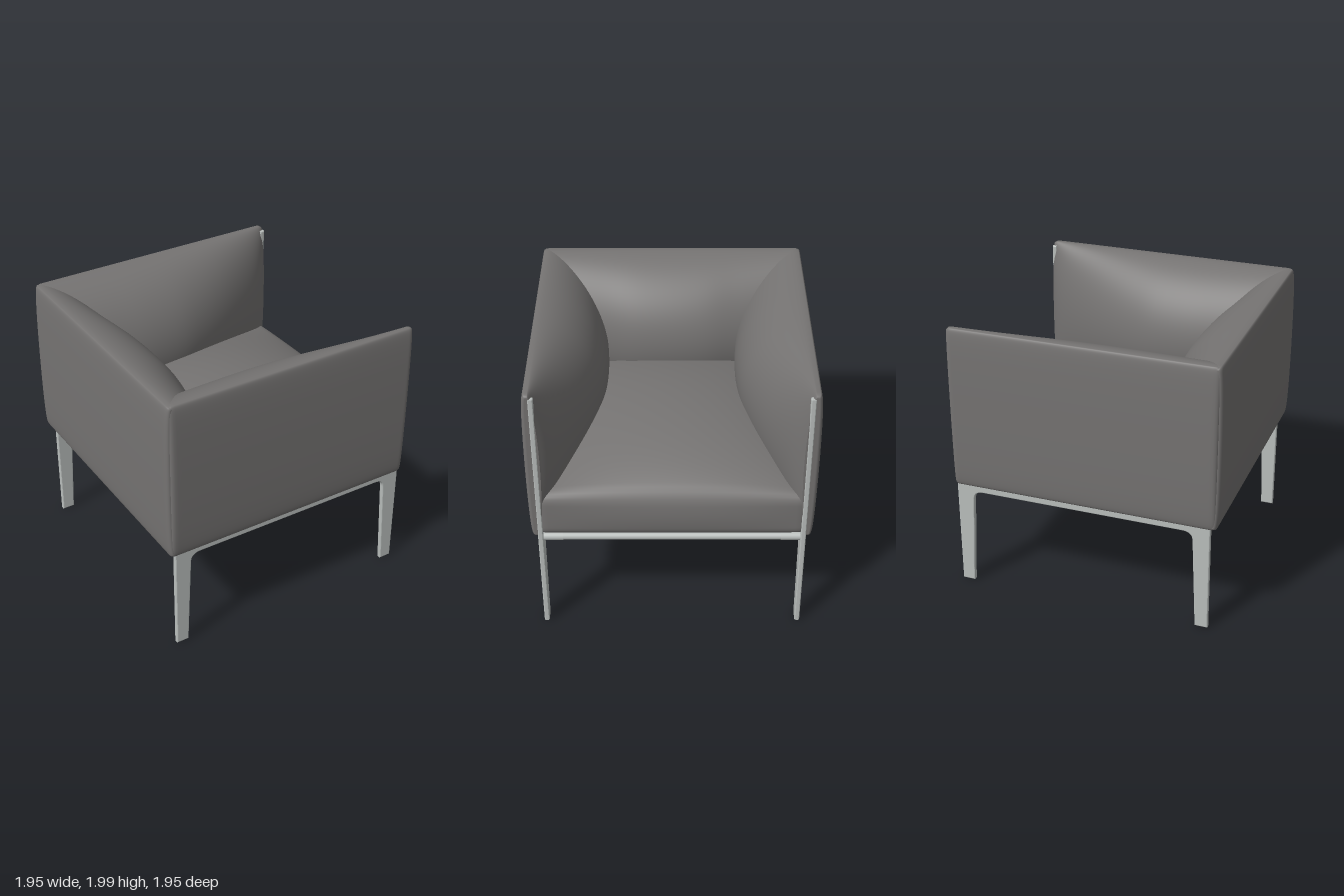
import * as THREE from 'three';
import { mergeVertices } from 'three/addons/utils/BufferGeometryUtils.js';

const fabric = new THREE.MeshStandardMaterial({ color: 0x757372 });
fabric.name = 'charcoalFabric';
const metal = new THREE.MeshStandardMaterial({ color: 0xbabfbd });
metal.name = 'satinMetal';
const dark = new THREE.MeshStandardMaterial({ color: 0x565656 });
dark.name = 'darkBase';

function addMesh(parent, name, geometry, material, x = 0, y = 0, z = 0) {
  const mesh = new THREE.Mesh(geometry, material);
  mesh.name = name;
  mesh.position.set(x, y, z);
  parent.add(mesh);
  return mesh;
}

// Padded panel along x: flat-ish outside (+z), inside bulging toward -z.
// profile holds [position along x, bulge depth].
function paddedPanel(profile) {
  const spline = new THREE.SplineCurve(profile.map(([s, t]) => new THREE.Vector2(s, t)));
  const first = profile[0][0], last = profile[profile.length - 1][0];
  const rows = 48, ring = 96, radius = 0.035;
  const pos = [], index = [];
  for (let i = 0; i <= rows; i++) {
    const p = spline.getPoint((1 - Math.cos(Math.PI * i / rows)) / 2);
    const edge = Math.max(0, 1 - Math.min(p.x - first, last - p.x) / radius);
    const inset = 1 - Math.sqrt(Math.max(0, 1 - edge * edge));
    const half = 0.593 - 0.02 * inset;
    for (let j = 0; j < ring; j++) {
      const a = 2 * Math.PI * j / ring, c = Math.cos(a);
      const depth = c > 0
        ? 0.054 * (1 - 0.5 * inset) * Math.pow(c, 0.3)
        : -p.y * Math.pow(-c, 1.15);
      pos.push(p.x, 1.4 + half * Math.sin(a), 0.92 + depth);
    }
  }
  for (let i = 0; i < rows; i++) {
    for (let j = 0; j < ring; j++) {
      const k = (j + 1) % ring;
      const a = i * ring + j, b = a + ring, c = (i + 1) * ring + k, d = i * ring + k;
      index.push(a, b, c, a, c, d);
    }
  }
  // end caps with their own vertices so the edge stays crisp
  for (const row of [0, rows]) {
    const start = pos.length / 3;
    for (let j = 0; j < ring; j++) {
      const v = (row * ring + j) * 3;
      pos.push(pos[v], pos[v + 1], pos[v + 2]);
    }
    const centre = pos.length / 3;
    pos.push(row ? last : first, 1.4, 0.92);
    for (let j = 0; j < ring; j++) {
      const a = start + j, b = start + (j + 1) % ring;
      if (row) index.push(centre, b, a);
      else index.push(centre, a, b);
    }
  }
  const g = new THREE.BufferGeometry();
  g.setAttribute('position', new THREE.Float32BufferAttribute(pos, 3));
  g.setIndex(index);
  g.computeVertexNormals();
  return g;
}

// Seat: rounded block with a domed top and a softly bowed front.
// It runs into the arms, so only its middle is exposed.
function seatGeometry() {
  const hx = 0.925, hy = 0.17, hz = 0.93, r = 0.06;
  let g = new THREE.BoxGeometry(2 * hx, 2 * hy, 2 * hz, 64, 14, 64);
  g.deleteAttribute('normal');
  g.deleteAttribute('uv');
  g = mergeVertices(g);
  const p = g.attributes.position;
  const v = new THREE.Vector3(), core = new THREE.Vector3();
  const limit = new THREE.Vector3(hx - r, hy - r, hz - r);
  const lower = limit.clone().negate();
  for (let i = 0; i < p.count; i++) {
    v.fromBufferAttribute(p, i);
    core.copy(v).clamp(lower, limit);
    v.sub(core).normalize().multiplyScalar(r).add(core);
    const u = v.x / hx, w = v.z / hz, h = (v.y + hy) / (2 * hy);
    const dome = Math.pow(Math.max(0, (1 - u * u) * (1 - w * w)), 0.75);
    const bow = 0.02 * Math.max(0, u) ** 4 * (1 - w * w) * Math.sin(Math.PI * h);
    p.setXYZ(i, v.x + bow, v.y + 0.235 * dome * h * h, v.z);
  }
  g.computeVertexNormals();
  return g;
}

// Side frame: two tapered legs, top rail and the front post in one sheet.
function sideFrameGeometry() {
  const s = new THREE.Shape();
  s.moveTo(-0.905, 0.003);
  s.lineTo(-0.812, 0.003);
  s.lineTo(-0.782, 0.685);
  s.quadraticCurveTo(-0.778, 0.747, -0.71, 0.747);
  s.lineTo(0.76, 0.747);
  s.quadraticCurveTo(0.828, 0.747, 0.832, 0.685);
  s.lineTo(0.866, 0.003);
  s.lineTo(0.957, 0.003);
  s.lineTo(0.959, 1.962);
  s.lineTo(0.925, 1.962);
  s.lineTo(0.925, 0.825);
  s.lineTo(-0.905, 0.825);
  s.closePath();
  const b = 0.009;
  return new THREE.ExtrudeGeometry(s, {
    depth: 0.037 - 2 * b, bevelEnabled: true, bevelSize: b, bevelThickness: b,
    bevelOffset: -b, bevelSegments: 4, curveSegments: 12,
  }).translate(0, 0, b - 0.0185);
}

export function createModel() {
  const model = new THREE.Group();
  model.name = 'armchair';

  // upholstery
  const arm = [[-0.95, 0.4], [-0.7, 0.43], [-0.47, 0.45], [-0.25, 0.46], [0, 0.445],
    [0.2, 0.4], [0.4, 0.335], [0.6, 0.255], [0.8, 0.165], [0.9, 0.105], [0.955, 0.05]];
  const mirroredArm = arm.map(([s, t]) => [-s, t]).reverse();
  const back = [[-0.955, 0.36], [-0.7, 0.41], [-0.48, 0.455], [-0.25, 0.505], [0, 0.52],
    [0.25, 0.505], [0.48, 0.455], [0.7, 0.41], [0.955, 0.36]];
  addMesh(model, 'leftArm', paddedPanel(arm), fabric);
  addMesh(model, 'rightArm', paddedPanel(mirroredArm), fabric).rotation.y = Math.PI;
  addMesh(model, 'backrest', paddedPanel(back), fabric).rotation.y = -Math.PI / 2;
  addMesh(model, 'seatCushion', seatGeometry(), fabric, 0.027, 0.98, 0);

  // frame
  const frame = new THREE.Group();
  frame.name = 'frame';
  model.add(frame);
  const sideFrame = sideFrameGeometry();
  const sideTube = new THREE.CylinderGeometry(0.027, 0.027, 1.8, 24).rotateZ(Math.PI / 2);
  const crossTube = new THREE.CylinderGeometry(0.027, 0.027, 1.77, 24).rotateX(Math.PI / 2);
  const sleeve = new THREE.CylinderGeometry(0.03, 0.03, 0.14, 24).rotateX(Math.PI / 2);
  const glide = new THREE.BoxGeometry(0.074, 0.004, 0.02);
  for (const side of [1, -1]) {
    addMesh(frame, 'sideFrame', sideFrame, metal, 0, 0, side * 0.902);
    addMesh(frame, 'sideRail', sideTube, metal, 0.02, 0.78, side * 0.868);
    for (const x of [-0.87, 0.915]) {
      addMesh(frame, 'railSleeve', sleeve, metal, x, 0.78, side * 0.82);
    }
    for (const x of [-0.859, 0.911]) {
      addMesh(frame, 'footGlide', glide, dark, x, 0.002, side * 0.902);
    }
  }
  for (const x of [-0.87, 0.915]) addMesh(frame, 'crossRail', crossTube, metal, x, 0.78, 0);

  // underside panel, resting on the rails
  addMesh(model, 'basePanel', new THREE.BoxGeometry(1.78, 0.012, 1.74), dark, 0.02, 0.805, 0);
  return model;
}
